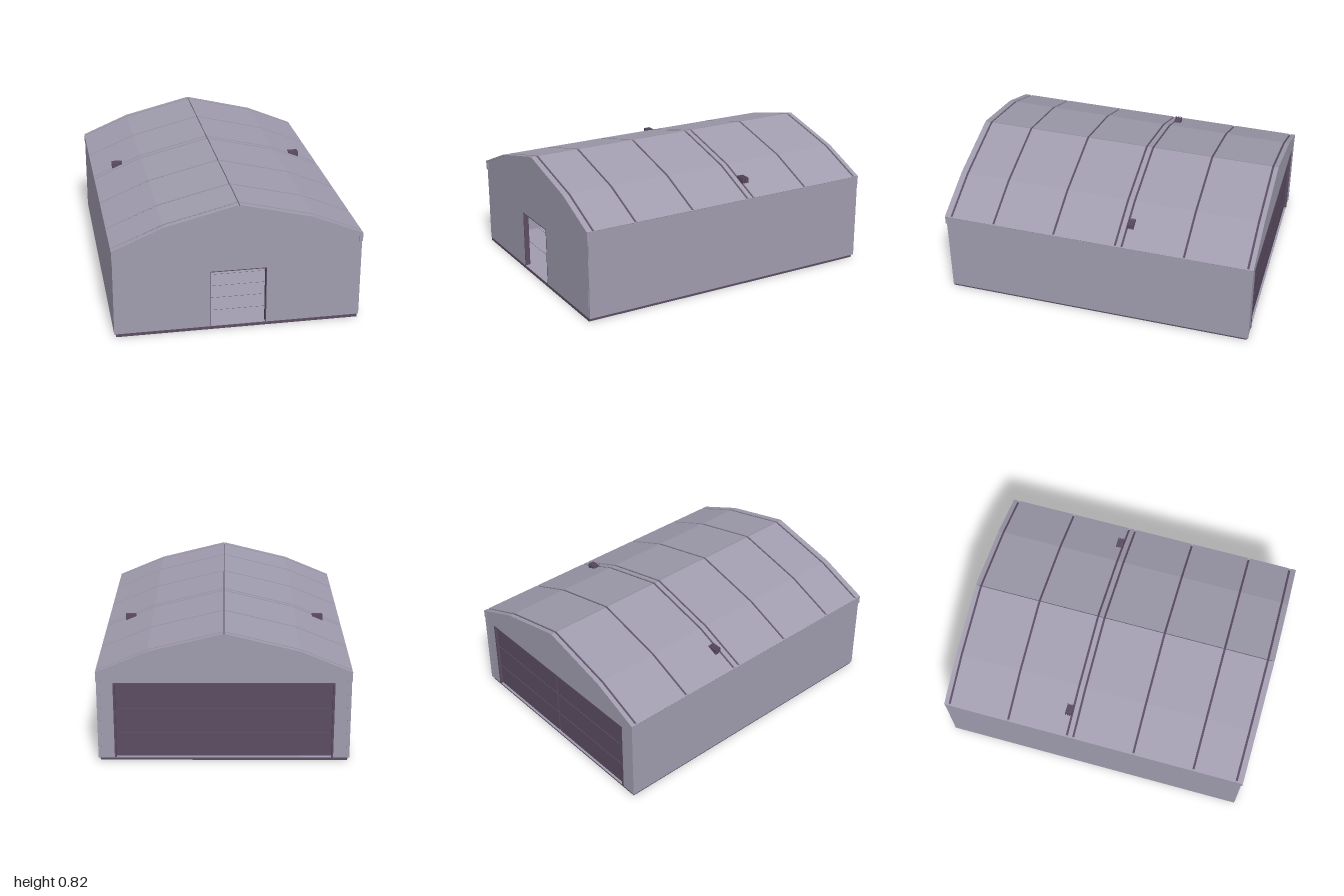
import * as THREE from 'three';

const mat = (name, color) => {
  const m = new THREE.MeshStandardMaterial({ color });
  m.name = name;
  return m;
};

export function createModel() {
  const model = new THREE.Group();
  model.name = 'hangar';
  const panelGrey = mat('panelGrey', 0xa09cae);
  const darkPurple = mat('darkPurple', 0x5c4d62);
  const lilac = mat('lilac', 0x9480b2);

  const add = (name, geometry, material, parent = model) => {
    const mesh = new THREE.Mesh(geometry, material);
    mesh.name = name;
    parent.add(mesh);
    return mesh;
  };
  // Box given by its min and max corners
  const box = (name, [x0, y0, z0], [x1, y1, z1], material, parent) => {
    const m = add(name, new THREE.BoxGeometry(x1 - x0, y1 - y0, z1 - z0), material, parent);
    m.position.set((x0 + x1) / 2, (y0 + y1) / 2, (z0 + z1) / 2);
    return m;
  };
  const toPoints = (list) => list.map(([x, y]) => new THREE.Vector2(x, y));
  // Outline in the xy plane, extruded from z0 to z1
  const slab = (name, outline, z0, z1, material, hole) => {
    const shape = new THREE.Shape(toPoints(outline));
    if (hole) shape.holes.push(new THREE.Path(toPoints(hole)));
    const g = new THREE.ExtrudeGeometry(shape, { depth: z1 - z0, bevelEnabled: false });
    g.translate(0, 0, z0);
    return add(name, g, material);
  };
  const rect = (w, y0, y1) => [[-w, y0], [w, y0], [w, y1], [-w, y1]];

  // Roof line for one half, eave to ridge, lowered by d
  const half = (d, ridgeX = 0) => [[0.77 - d * 0.6, 0.58 - d], [0.455, 0.713 - d], [ridgeX, 0.825 - d]];
  const mirror = (pts) => pts.map(([x, y]) => [-x, y]);
  const arch = (d) => [...half(d), ...mirror(half(d)).reverse().slice(1)];
  const band = (d0, d1) => [...arch(d0), ...arch(d1).reverse()];

  // Base slab and interior floor
  box('base', [-0.755, 0, -0.988], [0.755, 0.02, 0.992], darkPurple);
  box('floor', [-0.75, 0.02, -0.97], [0.75, 0.024, 0.97], panelGrey);
  for (let z = -0.8; z < 0.95; z += 0.16)
    box('floorSeam', [-0.75, 0.024, z - 0.001], [0.75, 0.0245, z + 0.001], darkPurple);

  // Dark layer that shows through the gaps between the roof panels
  slab('roofUnderlay', band(0.006, 0.022), -0.985, 0.985, darkPurple);

  // Roof panels between the seams, split at the ridge
  const seams = [-0.965, -0.566, -0.17, -0.127, 0.275, 0.673, 0.957];
  const edges = [-1, ...seams.flatMap((z) => [z - 0.007, z + 0.007]), 1];
  for (let i = 0; i < edges.length; i += 2) {
    const right = [...half(0, 0.003), ...half(0.01, 0.003).reverse()];
    slab('roofPanel', right, edges[i], edges[i + 1], panelGrey);
    slab('roofPanel', mirror(right), edges[i], edges[i + 1], panelGrey);
  }

  // Side walls with an eave band and corner caps
  for (const s of [-1, 1]) {
    const wall = (name, x0, x1, y0, y1, z0, z1) =>
      box(name, [Math.min(s * x0, s * x1), y0, z0], [Math.max(s * x0, s * x1), y1, z1], panelGrey);
    wall('sideWall', 0.745, 0.766, 0.02, 0.526, -0.998, 0.991);
    wall('eaveBand', 0.745, 0.769, 0.526, 0.578, -0.999, 0.999);
  }

  // Gable walls with a doorway each
  const gable = [[-0.755, 0.02], [0.755, 0.02], ...arch(0.009)];
  slab('frontWall', gable, 0.965, 0.993, panelGrey, rect(0.175, 0.024, 0.395));
  slab('backWall', gable, -0.995, -0.965, panelGrey, rect(0.667, 0.024, 0.51));

  // Frames lining the doorways
  const frame = (name, w, top, t, z0, z1) => {
    slab(name, [[-w, 0.022], [-w, top], [w, top], [w, 0.022], [w - t, 0.022], [w - t, top - t], [t - w, top - t], [t - w, 0.022]],
      z0, z1, darkPurple);
  };
  frame('frontDoorFrame', 0.175, 0.395, 0.005, 0.96, 0.9935);
  frame('backDoorFrame', 0.667, 0.51, 0.012, -0.998, -0.96);

  // Large back door: two leaves of three panels on a dark core
  box('backDoorCore', [-0.66, 0.022, -0.976], [0.66, 0.505, -0.966], darkPurple);
  const rows = [0.024, 0.18, 0.34, 0.5];
  for (const s of [-1, 1])
    for (let r = 0; r < 3; r++) {
      const x0 = s < 0 ? -0.652 : 0.004;
      const [y0, y1] = [rows[r] + 0.003, rows[r + 1] - 0.003];
      box('backDoorPanel', [x0, y0, -0.983], [x0 + 0.648, y1, -0.976], darkPurple);
      box('innerDoorPanel', [x0, y0 + 0.004, -0.966], [x0 + 0.648, y1 - 0.012, -0.96], lilac);
    }
  for (const y of [0.17, 0.33])
    box('innerDoorRail', [-0.652, y, -0.966], [0.652, y + 0.006, -0.958], panelGrey);

  // Inner latch post
  box('latchPost', [-0.036, 0.024, -0.96], [0.036, 0.39, -0.954], darkPurple);
  box('latchBar', [-0.018, 0.024, -0.954], [0.018, 0.145, -0.949], panelGrey);
  box('latchBarTop', [-0.005, 0.345, -0.954], [0.005, 0.39, -0.949], panelGrey);
  for (const s of [-1, 1])
    box('latchGrip', [s * 0.029 - 0.011, 0.07, -0.954], [s * 0.029 + 0.011, 0.105, -0.948], panelGrey);
  box('latchBlock', [-0.018, 0.07, -0.949], [0.018, 0.105, -0.947], darkPurple);

  // Lock plate with a padlock
  box('lockPlate', [-0.072, 0.186, -0.954], [0.072, 0.35, -0.944], darkPurple);
  box('padlockBody', [-0.032, 0.215, -0.944], [0.032, 0.275, -0.938], panelGrey);
  slab('padlockShackle', rect(0.026, 0.27, 0.307), -0.944, -0.938, panelGrey, rect(0.013, 0.275, 0.293));
  slab('keyhole', [[0, 0.23], [0.01, 0.252], [-0.01, 0.252]], -0.938, -0.936, darkPurple);

  // Console on the floor inside
  box('consoleBody', [-0.5, 0.024, 0.48], [-0.44, 0.06, 0.53], darkPurple);

  // Louvred roof vents
  for (const s of [-1, 1]) {
    const vent = new THREE.Group();
    vent.name = 'roofVent';
    vent.position.x = s * 0.609;
    model.add(vent);
    box('ventBody', [-0.029, 0.63, -0.207], [0.029, 0.664, -0.173], darkPurple, vent);
    for (let i = 0; i < 4; i++) {
      const z = -0.213 + i * 0.012;
      box('ventSlat', [-0.034, 0.632, z], [0.034, 0.67, z + 0.006], darkPurple, vent);
    }
  }
  return model;
}
